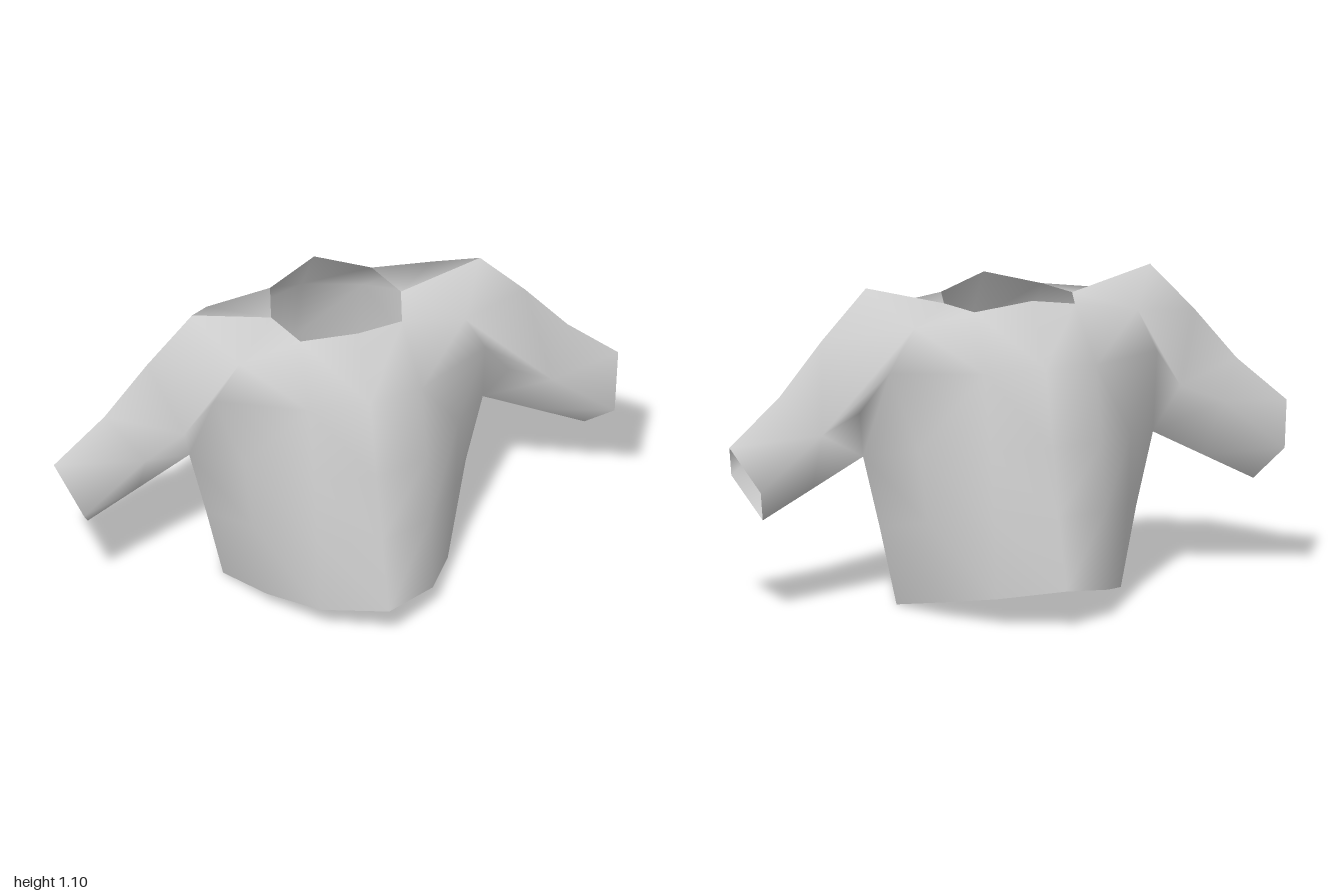
import * as THREE from 'three';

// Cross-section points of the front-left quarter of the garment
const P = {
  // hem, waist, ribs and chest rows, from the centre line outward
  a0: [0, 0.135, 0.56], b0: [0.2, 0.095, 0.425], c0: [0.32, 0.05, 0.225], d0: [0.4, 0, 0],
  a1: [0, 0.37, 0.48], b1: [0.2, 0.36, 0.4], c1: [0.36, 0.32, 0.19], d1: [0.46, 0.27, 0],
  a2: [0, 0.6, 0.425], b2: [0.2, 0.59, 0.365], c2: [0.38, 0.56, 0.16], d2: [0.52, 0.52, 0],
  a3: [0, 0.86, 0.36], b3: [0.2, 0.845, 0.31], c3: [0.48, 0.835, 0.145],
  // neckline and shoulder
  n0: [0, 1.065, 0.23], n1: [0.18, 1.025, 0.16], n2: [0.23, 1.025, 0],
  u: [0.4, 0.99, 0.172], s: [0.51, 1.1, 0],
  // sleeve rings: top, front and underside
  t1: [0.67, 0.93, 0], f1: [0.575, 0.7, 0.115],
  t2: [0.82, 0.75, 0], f2: [0.72, 0.64, 0.14], g2: [0.7, 0.425, 0],
  t3: [1, 0.59, 0], f3: [0.94, 0.46, 0.14], g3: [0.88, 0.33, 0],
};

const parse = (text) => text.split(', ').map((f) => f.split(' '));

// Faces shared by both sides
const FACES = parse(
  'a0 b0 b1 a1, b0 c0 c1 b1, c0 d0 d1 c1, ' +
  'a1 b1 b2 a2, b1 c1 c2 b2, c1 d1 d2 c2, ' +
  'a2 b2 b3 a3, c2 c3 b3 b2, c2 d2 c3, ' +
  'a3 b3 n1 n0, b3 c3 u n1, u s n2 n1, ' +
  'd2 f1 c3, d2 g2 f2 f1, f2 f3 t3 t2, g2 g3 f3 f2');

// The cloth of the upper sleeve folds differently on each side:
// a ridge from shoulder to elbow on the left, a dent on the right
const UPPER_SLEEVE = {
  1: parse('c3 f1 f2, u c3 f2, u f2 t1, f2 t2 t1, u t1 s'),
  [-1]: parse('c3 f1 u, u f1 t1 s, f1 f2 t2 t1'),
};

// One half of the garment: both sides share the centre line, so it shades smoothly;
// the halves stay separate, which keeps the side seams sharp.
function halfGeometry(zSign) {
  const positions = [], index = [], ids = new Map();
  const vertex = (name, xSign) => {
    const [x, y, z] = P[name];
    const key = x === 0 ? name : name + xSign;
    if (!ids.has(key)) {
      ids.set(key, positions.length / 3);
      positions.push(x * xSign, y, z * zSign);
    }
    return ids.get(key);
  };
  for (const xSign of [1, -1]) {
    for (const face of [...FACES, ...UPPER_SLEEVE[xSign]]) {
      const v = face.map((n) => vertex(n, xSign));
      // split into a fan first, then flip, so the diagonals mirror too
      for (let i = 2; i < v.length; i++) {
        if (xSign * zSign > 0) index.push(v[0], v[i - 1], v[i]);
        else index.push(v[0], v[i], v[i - 1]);
      }
    }
  }
  const geometry = new THREE.BufferGeometry();
  geometry.setAttribute('position', new THREE.Float32BufferAttribute(positions, 3));
  geometry.setIndex(index);
  geometry.computeVertexNormals();
  return geometry;
}

export function createModel() {
  const group = new THREE.Group();
  group.name = 'shirt';
  const cloth = new THREE.MeshStandardMaterial({ color: 0xcccccc, side: THREE.DoubleSide });
  cloth.name = 'light grey cloth';

  // Front and back halves, each with its half of both sleeves
  for (const [name, zSign] of [['frontHalf', 1], ['backHalf', -1]]) {
    const mesh = new THREE.Mesh(halfGeometry(zSign), cloth);
    mesh.name = name;
    group.add(mesh);
  }
  return group;
}
